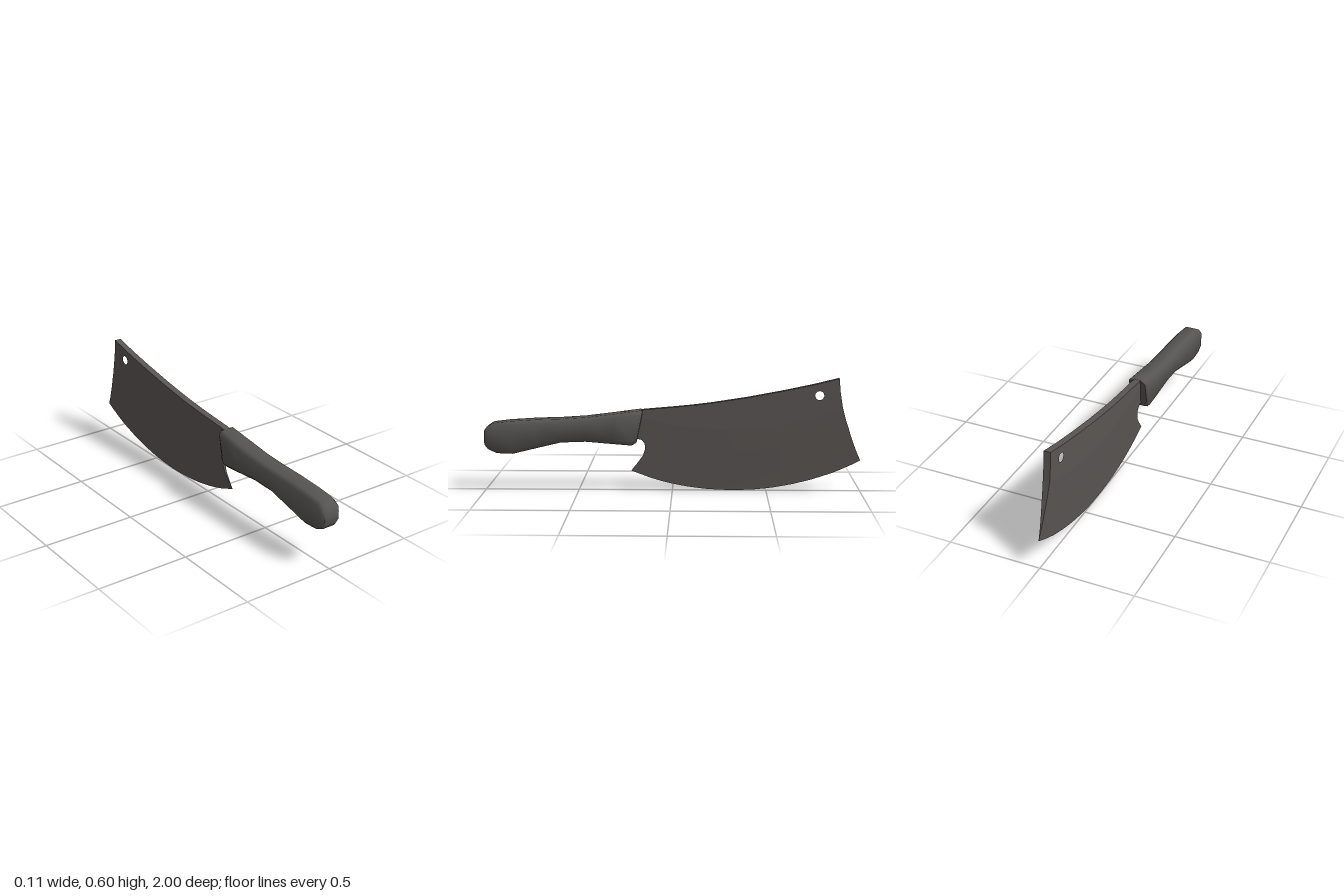
import * as THREE from 'three';
import { toCreasedNormals } from 'three/addons/utils/BufferGeometryUtils.js';

const lerp = THREE.MathUtils.lerp;
const HALF = 0.0183; // half thickness of the blade body

// Grid of nu x nv quads whose points come from fn(u, v); faces look along u x v
function sheet(nu, nv, fn) {
  const geo = new THREE.PlaneGeometry(1, 1, nu, nv);
  const pos = geo.attributes.position, uv = geo.attributes.uv;
  for (let i = 0; i < pos.count; i++) pos.setXYZ(i, ...fn(uv.getX(i), uv.getY(i)));
  geo.computeVertexNormals();
  return geo;
}

// Outlines as [z, y]
const EDGE = [[0.22, 0.105], [0.1, 0.06], [0, 0.034], [-0.1, 0.016], [-0.2, 0.005], [-0.33, 0],
  [-0.45, 0.006], [-0.55, 0.018], [-0.65, 0.037], [-0.75, 0.063], [-0.85, 0.096], [-0.93, 0.13], [-1, 0.165]];
const HEEL = [[0.22, 0.105], [0.185, 0.148], [0.158, 0.185], [0.145, 0.225],
  [0.148, 0.255], [0.165, 0.275], [0.19, 0.28], [0.2, 0.405]];
const TIP = [[-1, 0.165], [-0.982, 0.205], [-0.968, 0.24], [-0.955, 0.275],
  [-0.943, 0.31], [-0.932, 0.345], [-0.921, 0.375], [-0.9, 0.45]];
const SPINE = [[-0.887, 0.53], [-0.88, 0.605], [-0.75, 0.573], [-0.6, 0.541], [-0.4, 0.503],
  [-0.2, 0.472], [-0.1, 0.46], [0, 0.45], [0.15, 0.437], [0.2, 0.425]];
const ROWS = HEEL.length - 1, COLS = 24;

// Height of the cutting edge at z
function edgeY(z) {
  for (let i = 1; i < EDGE.length; i++) {
    const [z0, y0] = EDGE[i - 1], [z1, y1] = EDGE[i];
    if (z >= z1) return lerp(y0, y1, Math.max(0, (z0 - z) / (z0 - z1)));
  }
  return EDGE[EDGE.length - 1][1];
}

// Point on the ground face: u from heel to tip, v from edge to body
function bevelPoint(u, v, side) {
  const k = Math.round(v * ROWS), a = HEEL[k], b = TIP[k];
  const bulge = edgeY(lerp(0.22, -1, u)) - lerp(0.105, 0.165, u);
  const z = lerp(a[0], b[0], u);
  const y = lerp(a[1], b[1], u) + bulge * (1 - 0.3 * v);
  const t = k === ROWS ? 1 : THREE.MathUtils.clamp((y - edgeY(z)) / 0.32, 0.02, 1);
  return [side * HALF * t, y, z];
}

function buildBlade(material) {
  const blade = new THREE.Group();
  blade.name = 'blade';
  const add = (name, geo) => {
    const mesh = new THREE.Mesh(geo, material);
    mesh.name = name;
    blade.add(mesh);
  };
  // Wedge that narrows down to the cutting edge
  add('leftBevel', sheet(COLS, ROWS, (u, v) => bevelPoint(u, v, 1)));
  add('rightBevel', sheet(COLS, ROWS, (u, v) => bevelPoint(1 - u, v, -1)));
  add('heelWall', sheet(1, ROWS, (u, v) => bevelPoint(0, v, 2 * u - 1)));
  add('tipWall', sheet(1, ROWS, (u, v) => bevelPoint(1, v, 1 - 2 * u)));

  // Upper body with the hanging hole
  const outline = [];
  for (let i = 0; i <= COLS; i++) {
    const [, y, z] = bevelPoint(i / COLS, 1, 1);
    outline.push(new THREE.Vector2(z, y));
  }
  SPINE.forEach(([z, y]) => outline.push(new THREE.Vector2(z, y)));
  const shape = new THREE.Shape(outline);
  shape.holes.push(new THREE.Path().absarc(-0.777, 0.515, 0.024, 0, Math.PI * 2, true));
  const body = new THREE.ExtrudeGeometry(shape, { depth: 2 * HALF, bevelEnabled: false, curveSegments: 10 });
  body.translate(0, 0, -HALF).rotateY(-Math.PI / 2);
  add('bladeBody', toCreasedNormals(body, 0.7));
  return blade;
}

function buildHandle(material) {
  // Sections: [top z, top y, bottom z, bottom y, half width], blade end to butt
  const S = [
    [0.172, 0.35, 0.172, 0.35, 0], [0.157, 0.43, 0.19, 0.262, 0.046],
    [0.168, 0.435, 0.215, 0.247, 0.054], [0.3, 0.417, 0.325, 0.256, 0.055],
    [0.46, 0.397, 0.46, 0.267, 0.054], [0.58, 0.389, 0.593, 0.262, 0.054],
    [0.727, 0.384, 0.727, 0.23, 0.054], [0.865, 0.375, 0.85, 0.2, 0.054],
    [0.955, 0.364, 0.935, 0.203, 0.053], [0.985, 0.345, 0.982, 0.225, 0.052],
    [1, 0.325, 1, 0.245, 0.043], [1, 0.285, 1, 0.285, 0],
  ];
  const geo = sheet(8, S.length - 1, (u, v) => {
    const [zt, yt, zb, yb, w] = S[Math.round(v * (S.length - 1))];
    const k = Math.round(u * 8) % 8;
    const h = (yt - yb) / 2, c = Math.min(0.019, w, h); // corner chamfer
    // chamfered rectangle, counter-clockwise from the lower right
    const sx = [1, 1, 1, -1, -1, -1, -1, 1][k], sy = [-1, 1, 1, 1, 1, -1, -1, -1][k];
    const onSide = [true, true, false, false, true, true, false, false][k];
    const x = sx * (onSide ? w : w - c * 0.9);
    const dy = sy * (onSide ? h - c : h);
    const f = h > 0 ? (dy / h + 1) / 2 : 0.5;
    return [x, (yt + yb) / 2 + dy, lerp(zb, zt, f)];
  });
  const handle = new THREE.Mesh(toCreasedNormals(geo, 0.95), material);
  handle.name = 'handle';
  return handle;
}

export function createModel() {
  const steel = new THREE.MeshStandardMaterial({ color: 0x5a5553 });
  steel.name = 'dark steel';
  const grip = new THREE.MeshStandardMaterial({ color: 0x575552 });
  grip.name = 'dark grip';
  const model = new THREE.Group();
  model.name = 'cleaver';
  model.add(buildBlade(steel), buildHandle(grip));
  return model;
}
